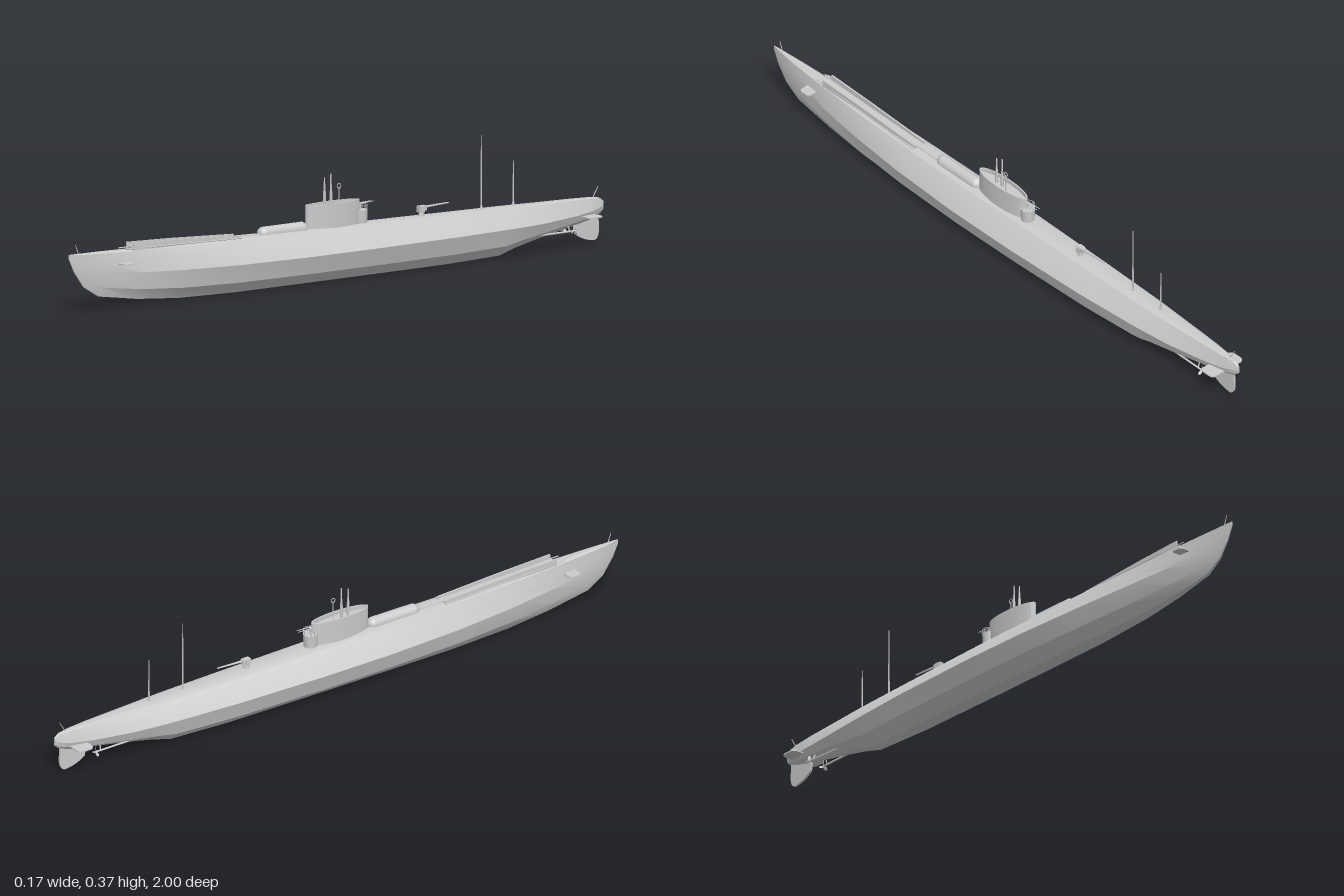
import * as THREE from 'three';
import { toCreasedNormals } from 'three/addons/utils/BufferGeometryUtils.js';

const material = new THREE.MeshStandardMaterial({ color: 0xcccccc, side: THREE.DoubleSide });

// Skin a list of rings (counter-clockwise seen from +z, ordered stern to bow) and cap the ends.
function loft(rings, crease) {
  const n = rings[0].length, index = [];
  const last = (rings.length - 1) * n;
  for (let i = 0; i < rings.length - 1; i++) {
    for (let j = 0; j < n; j++) {
      const k = (j + 1) % n, a = i * n, b = a + n;
      index.push(a + j, a + k, b + k, a + j, b + k, b + j);
    }
  }
  for (let j = 1; j < n - 1; j++) index.push(0, j + 1, j, last, last + j, last + j + 1);
  const g = new THREE.BufferGeometry();
  g.setAttribute('position', new THREE.Float32BufferAttribute(rings.flat(2), 3));
  g.setIndex(index);
  return toCreasedNormals(g, crease);
}

// Plate with a rounded outline, lying in the xz plane and extruded upwards.
function plate(shape, height, curveSegments = 16) {
  return new THREE.ExtrudeGeometry(shape, { depth: height, bevelEnabled: false, curveSegments }).rotateX(-Math.PI / 2);
}

export function createModel() {
  const model = new THREE.Group();
  model.name = 'submarine';

  function add(name, geometry, x = 0, y = 0, z = 0, parent = model) {
    const mesh = new THREE.Mesh(geometry, material);
    mesh.name = name;
    mesh.position.set(x, y, z);
    parent.add(mesh);
    return mesh;
  }
  // Tapered round bar between two points.
  function bar(name, from, to, r0, r1 = r0, parent = model) {
    const a = new THREE.Vector3(...from), b = new THREE.Vector3(...to);
    const dir = b.clone().sub(a);
    const mesh = add(name, new THREE.CylinderGeometry(r1, r0, dir.length(), 8), 0, 0, 0, parent);
    mesh.position.copy(a).add(b).multiplyScalar(0.5);
    mesh.quaternion.setFromUnitVectors(new THREE.Vector3(0, 1, 0), dir.normalize());
    return mesh;
  }

  // Hull stations: z, keel y, keel half width, widest y, widest half width, deck y, deck half width
  const stations = [
    [-1.0, 0.098, 0.002, 0.112, 0.004, 0.124, 0.002],
    [-0.985, 0.085, 0.003, 0.108, 0.011, 0.134, 0.005],
    [-0.95, 0.073, 0.004, 0.1, 0.02, 0.138, 0.01],
    [-0.88, 0.06, 0.006, 0.094, 0.032, 0.14, 0.016],
    [-0.75, 0.038, 0.01, 0.088, 0.05, 0.142, 0.023],
    [-0.66, 0.02, 0.013, 0.087, 0.059, 0.144, 0.027],
    [-0.6, 0.004, 0.016, 0.087, 0.064, 0.145, 0.029],
    [-0.4, 0, 0.022, 0.087, 0.076, 0.148, 0.033],
    [-0.1, 0, 0.024, 0.087, 0.083, 0.153, 0.036],
    [0.15, 0, 0.024, 0.087, 0.081, 0.156, 0.036],
    [0.4, 0, 0.022, 0.088, 0.069, 0.159, 0.033],
    [0.6, 0.004, 0.016, 0.092, 0.052, 0.162, 0.028],
    [0.75, 0.016, 0.01, 0.098, 0.035, 0.165, 0.022],
    [0.89, 0.037, 0.005, 0.11, 0.017, 0.169, 0.013],
    [0.945, 0.07, 0.003, 0.125, 0.009, 0.17, 0.008],
    [0.98, 0.118, 0.002, 0.145, 0.004, 0.171, 0.004],
    [1.0, 0.16, 0.001, 0.166, 0.001, 0.171, 0.001],
  ];
  const rings = stations.map(([z, ky, kw, my, mw, dy, dw]) => {
    const half = [
      [kw, ky],
      [kw + (mw - kw) * 0.68, ky + (my - ky) * 0.38],
      [mw, my],
      [dw + (mw - dw) * 0.5, my + (dy - my) * 0.52],
      [dw, dy - (dy - my) * 0.06],
      [dw * 0.55, dy],
    ];
    const left = half.map(([x, y]) => [x, y, z]);
    const right = half.map(([x, y]) => [-x, y, z]).reverse();
    return [...left, ...right];
  });
  add('hull', loft(rings, 0.3));

  // Raised foredeck wedge with a rail along each side
  const wedge = (x, w, sections) => loft(sections.map(([z, y0, y1]) =>
    [[x - w, y0, z], [x + w, y0, z], [x + w * 0.8, y1, z], [x - w * 0.8, y1, z]]), 0.3);
  add('foredeckCasing', wedge(0, 0.012, [[0.29, 0.15, 0.16], [0.77, 0.155, 0.173]]));
  for (const s of [-1, 1]) {
    add('foredeckRail', wedge(s * 0.017, 0.003, [[0.37, 0.15, 0.166], [0.6, 0.155, 0.178], [0.77, 0.158, 0.184]]));
    bar('deckEdgeRail', [s * 0.026, 0.159, 0.37], [s * 0.017, 0.169, 0.8], 0.0018);
  }

  // Rounded container in front of the tower
  const container = add('deckContainer', new THREE.CapsuleGeometry(0.02, 0.14, 6, 16).rotateX(Math.PI / 2), 0, 0.158, 0.2);
  container.scale.y = 1.05;

  // Conning tower: solid lower body, thin bulwark on top
  const tower = new THREE.Group();
  tower.name = 'conningTower';
  model.add(tower);
  const oval = (a, b) => new THREE.Shape().absellipse(0, 0, a, b, 0, Math.PI * 2);
  add('towerBody', plate(oval(0.025, 0.1), 0.067), 0, 0.145, 0.012, tower);
  const wall = oval(0.025, 0.1);
  wall.holes.push(oval(0.021, 0.094));
  add('towerBulwark', plate(wall, 0.014), 0, 0.211, 0.012, tower);
  add('gunPlatform', new THREE.CylinderGeometry(0.022, 0.02, 0.045, 20), 0, 0.17, -0.092, tower);
  add('platformRail', new THREE.TorusGeometry(0.021, 0.001, 6, 24).rotateX(Math.PI / 2), 0, 0.206, -0.092, tower);
  for (let i = 0; i < 7; i++) {
    const a = Math.PI * i / 6, x = Math.cos(a) * 0.021, z = -0.092 - Math.sin(a) * 0.021;
    bar('railPost', [x, 0.19, z], [x, 0.206, z], 0.001, 0.001, tower);
  }
  bar('gunPost', [0, 0.19, -0.092], [0, 0.211, -0.092], 0.004, 0.003, tower);
  for (const s of [-1, 1]) bar('towerGunBarrel', [s * 0.005, 0.21, -0.08], [s * 0.005, 0.213, -0.138], 0.0022, 0.001, tower);

  // Periscopes and aerial on the tower
  for (const [z, top] of [[0.042, 0.3], [0.018, 0.31]]) {
    bar('periscopeTube', [0, 0.2, z], [0, 0.26, z], 0.005, 0.004, tower);
    bar('periscopeHead', [0, 0.26, z], [0, top, z], 0.003, 0.0018, tower);
  }
  bar('aerialPost', [0.008, 0.2, -0.006], [0.008, 0.268, -0.006], 0.002, 0.0015, tower);
  add('aerialLoop', new THREE.TorusGeometry(0.007, 0.0013, 6, 16).rotateY(Math.PI / 2), 0.008, 0.272, -0.006, tower);

  // Deck gun pointing aft
  const gun = new THREE.Group();
  gun.name = 'deckGun';
  model.add(gun);
  bar('gunPedestal', [0, 0.145, -0.32], [0, 0.167, -0.32], 0.01, 0.006, gun);
  add('gunBreech', new THREE.BoxGeometry(0.014, 0.015, 0.028), 0, 0.172, -0.322, gun);
  for (const s of [-1, 1]) add('gunCheek', new THREE.BoxGeometry(0.003, 0.017, 0.016), s * 0.009, 0.169, -0.318, gun);
  bar('gunBarrel', [0, 0.174, -0.33], [0, 0.178, -0.422], 0.0038, 0.0022, gun);

  // Radio masts, bow and stern staffs
  for (const [z, top] of [[-0.545, 0.365], [-0.665, 0.278]]) {
    bar('mastFoot', [0, 0.14, z], [0, 0.156, z], 0.005, 0.003);
    bar('mast', [0, 0.15, z], [0, top, z], 0.0028, 0.0012);
  }
  bar('bowStaff', [0, 0.168, 0.963], [0, 0.2, 0.975], 0.0015, 0.001);
  bar('sternStaff', [0, 0.132, -0.96], [0, 0.168, -0.982], 0.0015, 0.001);

  // Diving planes
  function plane(name, span, chord, y, z) {
    const r = chord * 0.3, h = chord / 2;
    const s = new THREE.Shape().moveTo(-span, -h + r).quadraticCurveTo(-span, -h, -span + r, -h)
      .lineTo(span - r, -h).quadraticCurveTo(span, -h, span, -h + r).lineTo(span, h - r)
      .quadraticCurveTo(span, h, span - r, h).lineTo(-span + r, h).quadraticCurveTo(-span, h, -span, h - r);
    add(name, plate(s, 0.004, 6), 0, y - 0.002, z);
  }
  plane('bowPlanes', 0.056, 0.04, 0.13, 0.812);
  plane('sternPlanes', 0.063, 0.055, 0.088, -0.928);

  // Rudder: shape drawn with x as aft distance, then turned into the centre plane
  const rudder = new THREE.Shape().moveTo(0.89, 0.062).lineTo(0.895, 0.035)
    .quadraticCurveTo(0.925, 0.012, 0.965, 0.01).quadraticCurveTo(0.985, 0.012, 0.983, 0.05)
    .lineTo(0.98, 0.1).lineTo(0.92, 0.1);
  add('rudder', new THREE.ExtrudeGeometry(rudder, { depth: 0.007, bevelEnabled: false, curveSegments: 8 })
    .translate(0, 0, -0.0035).rotateY(Math.PI / 2));

  // Twin shafts, struts and three-bladed propellers
  for (const s of [-1, 1]) {
    const x = s * 0.027, y = 0.05, z = -0.872;
    bar('propellerShaft', [s * 0.022, 0.048, -0.7], [x, y, z], 0.003);
    bar('shaftStrut', [x, y, -0.855], [s * 0.012, 0.085, -0.85], 0.002);
    const propeller = new THREE.Group();
    propeller.name = 'propeller';
    propeller.position.set(x, y, z);
    model.add(propeller);
    add('hub', new THREE.ConeGeometry(0.004, 0.016, 10).rotateX(-Math.PI / 2), 0, 0, -0.004, propeller);
    for (let i = 0; i < 3; i++) {
      const blade = add('blade', new THREE.SphereGeometry(1, 10, 6).scale(0.005, 0.008, 0.001)
        .rotateY(s * 0.6).translate(0, 0.009, 0), 0, 0, 0, propeller);
      blade.rotation.z = i * Math.PI * 2 / 3;
    }
  }
  return model;
}
